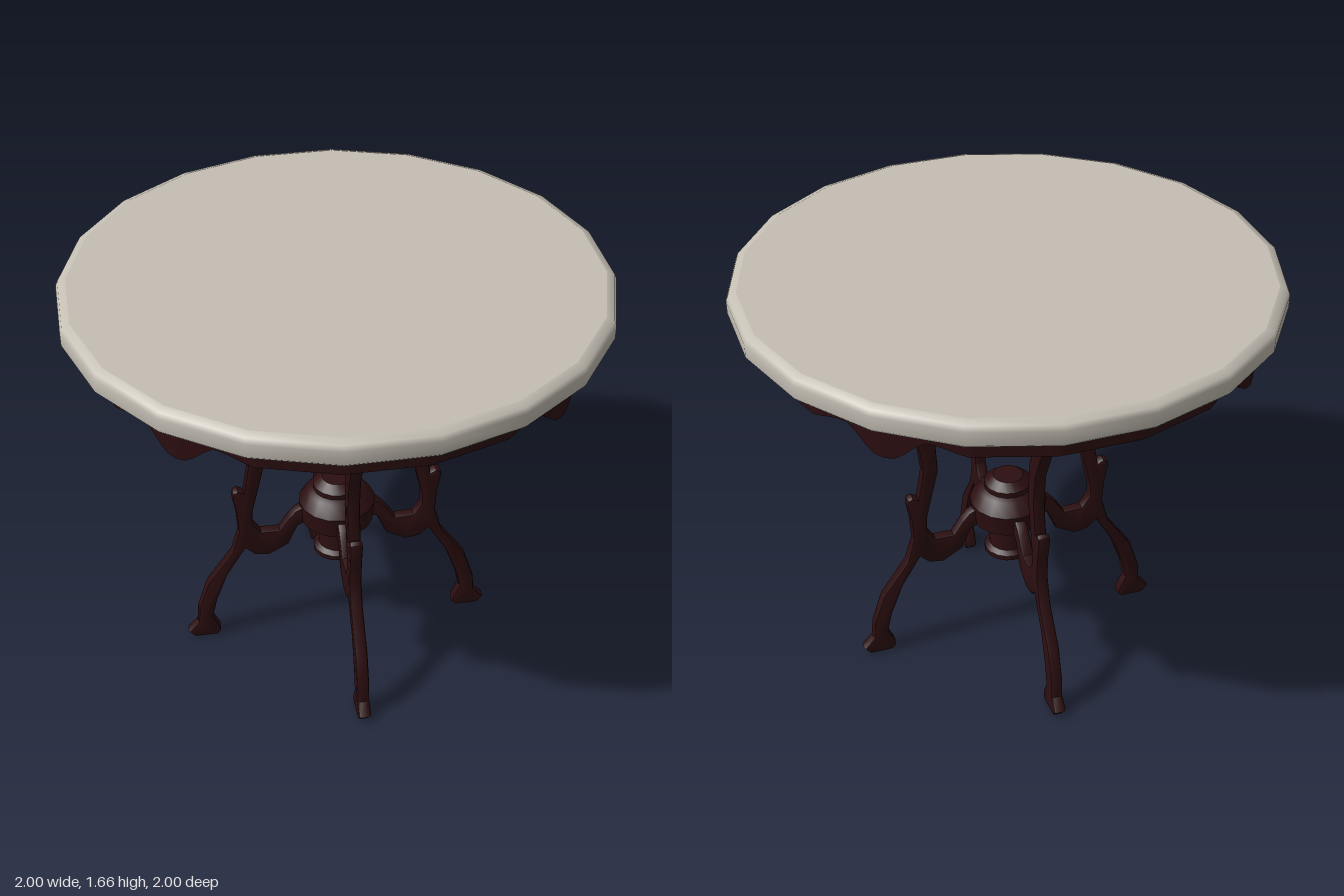
import * as THREE from 'three';
import { toCreasedNormals } from 'three/addons/utils/BufferGeometryUtils.js';

const stone = new THREE.MeshStandardMaterial({ color: 0xc4beb3 });
stone.name = 'pale stone';
const wood = new THREE.MeshStandardMaterial({ color: 0x2c0e10 });
wood.name = 'dark wood';

const SIDES = 20;
const STEP = (Math.PI * 2) / SIDES;
const points = (list) => list.map(([x, y]) => new THREE.Vector2(x, y));

function add(parent, name, geometry, material) {
  const mesh = new THREE.Mesh(geometry, material);
  mesh.name = name;
  parent.add(mesh);
  return mesh;
}

// flat polygon disc facing up or down, corners matching the table top
function disc(radius, y, up) {
  return new THREE.CircleGeometry(radius, SIDES, STEP / 2)
    .rotateX(up ? -Math.PI / 2 : Math.PI / 2)
    .translate(0, y, 0);
}

// lower edge of the apron: [degrees from a diagonal, height]
const scallop = [[0, 1.43], [2.5, 1.432], [5, 1.462], [7, 1.493], [9, 1.514], [12, 1.512], [17.5, 1.49], [46, 1.49]];
function apronBottom(angle) {
  const deg = THREE.MathUtils.euclideanModulo(THREE.MathUtils.radToDeg(angle), 90);
  const d = Math.abs(deg - 45);
  const i = Math.max(1, scallop.findIndex(([a]) => a >= d));
  const [a0, y0] = scallop[i - 1];
  const [a1, y1] = scallop[i];
  return THREE.MathUtils.mapLinear(d, a0, a1, y0, y1);
}

// hollow ring with a scalloped lower edge, pressed onto a 20-sided outline
function apronGeometry() {
  const profile = points([[0.91, 1.578], [0.91, 1], [0.94, 1], [0.94, 1.578]]).reverse();
  const geometry = new THREE.LatheGeometry(profile.reverse(), 160, STEP / 2);
  const pos = geometry.attributes.position;
  for (let i = 0; i < pos.count; i++) {
    const x = pos.getX(i), z = pos.getZ(i);
    const angle = Math.atan2(x, z);
    const off = angle - Math.round(angle / STEP) * STEP;
    const k = Math.cos(STEP / 2) / Math.cos(off);
    const y = pos.getY(i) < 1.2 ? apronBottom(angle) : pos.getY(i);
    pos.setXYZ(i, x * k, y, z * k);
  }
  return toCreasedNormals(geometry, 0.6);
}

// curved leg with its arm to the hub, outlined in the x-y plane
function legGeometry() {
  const outline = points([
    // outer edge, foot to top
    [0.508, 0], [0.6, 0], [0.625, 0.03], [0.583, 0.075], [0.577, 0.15], [0.535, 0.28], [0.43, 0.43],
    [0.4, 0.535], [0.406, 0.63], [0.42, 0.71], [0.415, 0.733], [0.396, 0.74], [0.374, 0.727],
    [0.353, 0.855], [0.37, 0.99], [0.465, 1.187], [0.567, 1.326], [0.663, 1.455], [0.74, 1.572],
    // inner edge, down to the arm
    [0.65, 1.572], [0.567, 1.46], [0.417, 1.246], [0.3, 1.016], [0.29, 0.845], [0.34, 0.63],
    [0.342, 0.57], [0.31, 0.522], [0.235, 0.52], [0.2, 0.575], [0.17, 0.61], [0.1, 0.65],
    // underside of the arm and back to the foot
    [0.1, 0.56], [0.16, 0.535], [0.2, 0.445], [0.28, 0.4], [0.34, 0.41], [0.375, 0.445],
    [0.45, 0.32], [0.5, 0.187], [0.52, 0.1], [0.492, 0.04], [0.492, 0.015],
  ]);
  const geometry = new THREE.ExtrudeGeometry(new THREE.Shape(outline), {
    depth: 0.026, bevelEnabled: true, bevelThickness: 0.012, bevelSize: 0.012, bevelOffset: -0.012, bevelSegments: 2,
  });
  geometry.translate(0, 0, -0.013);
  return toCreasedNormals(geometry, 0.65);
}

export function createModel() {
  const model = new THREE.Group();
  model.name = 'roundTable';

  // table top with a softened upper rim
  const top = new THREE.Group();
  top.name = 'tableTop';
  model.add(top);
  const rim = points([[1.004, 1.575], [1.0125, 1.585], [1.0125, 1.635], [1.004, 1.655], [0.975, 1.665]]);
  add(top, 'topRim', new THREE.LatheGeometry(rim, SIDES, STEP / 2), stone);
  add(top, 'topSurface', disc(0.975, 1.665, true), stone);
  add(top, 'topUnderside', disc(1.004, 1.575, false), stone);

  // scalloped apron and the board inside it
  add(model, 'apron', apronGeometry(), wood);
  add(model, 'underBoard', disc(0.93, 1.57, false), wood);

  // four legs, one on each axis
  const leg = legGeometry();
  for (let i = 0; i < 4; i++) {
    add(model, `leg${i + 1}`, leg, wood).rotation.y = (i * Math.PI) / 2;
  }

  // turned hub joining the arms
  const hub = points([
    [0, 0.39], [0.095, 0.39], [0.095, 0.41], [0.075, 0.425], [0.07, 0.5], [0.09, 0.53], [0.145, 0.555],
    [0.152, 0.64], [0.115, 0.69], [0.095, 0.7], [0.095, 0.722], [0.06, 0.75], [0, 0.75],
  ]);
  add(model, 'centreHub', toCreasedNormals(new THREE.LatheGeometry(hub, 16), 0.6), wood);

  return model;
}
